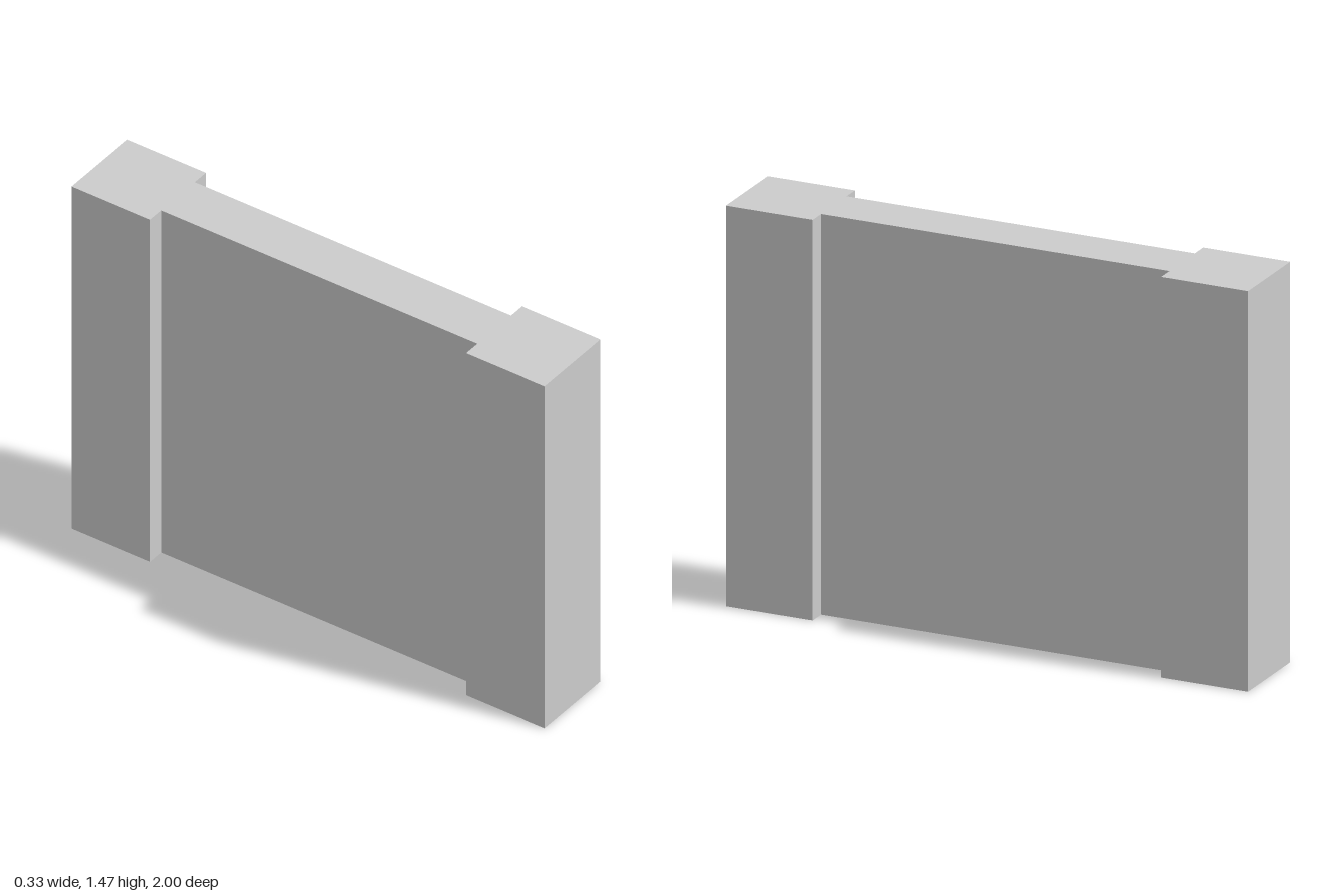
import * as THREE from 'three';

const H = 1.467;      // height
const POST = 0.1665;  // half width of the end posts
const WEB = 0.1;      // half width of the panel
const SHOULDER = 0.667; // where post meets panel
const STUB = 0.4;     // where the solid stub ends and the hollow span begins

export function createModel() {
  const group = new THREE.Group();
  const mat = new THREE.MeshStandardMaterial({ color: 0xcccccc, flatShading: true });
  const thin = new THREE.MeshStandardMaterial({ color: 0xcccccc, flatShading: true, side: THREE.DoubleSide });

  const add = (name, geometry, material) => {
    const mesh = new THREE.Mesh(geometry, material);
    mesh.name = name;
    group.add(mesh);
    return mesh;
  };

  // T-shaped end posts: wide post with a narrower stub pointing inward
  const profile = new THREE.Shape([
    [-WEB, STUB], [WEB, STUB], [WEB, SHOULDER], [POST, SHOULDER],
    [POST, 1], [-POST, 1], [-POST, SHOULDER], [-WEB, SHOULDER],
  ].map(([x, y]) => new THREE.Vector2(x, y)));
  const postGeo = new THREE.ExtrudeGeometry(profile, { depth: H, bevelEnabled: false });
  postGeo.rotateX(-Math.PI / 2);
  add('backPost', postGeo, mat);
  add('frontPost', postGeo, mat).rotation.y = Math.PI;

  // Hollow middle span: two thin side skins and a top, open underneath
  for (const s of [-1, 1]) {
    const skin = add(s > 0 ? 'leftPanel' : 'rightPanel', new THREE.PlaneGeometry(2 * STUB, H), thin);
    skin.rotation.y = s * Math.PI / 2;
    skin.position.set(s * WEB, H / 2, 0);
  }
  const top = add('topPanel', new THREE.PlaneGeometry(2 * WEB, 2 * STUB), thin);
  top.rotation.x = -Math.PI / 2;
  top.position.y = H;

  return group;
}
